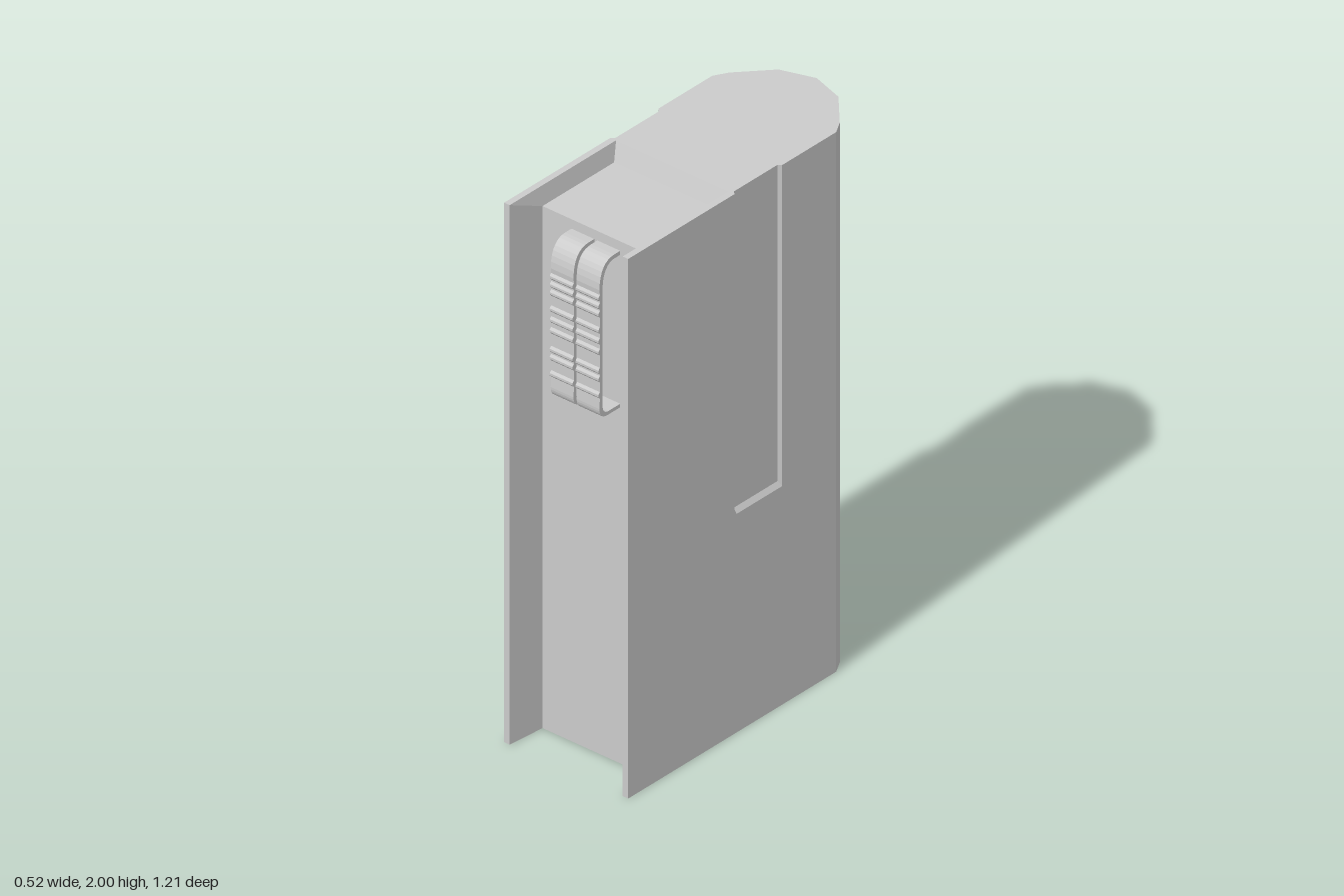
import * as THREE from 'three';

const material = () => new THREE.MeshStandardMaterial({ color: 0xcccccc, flatShading: true, side: THREE.DoubleSide });

// Horizontal outline: groove = side recess depth, inner = half width between
// the front flanges, front = z of the face between them.
function outline(groove, inner, front) {
  const half = [
    [0, -0.605], [0.125, -0.565], [0.23, -0.45], [0.258, -0.4],
    [0.258, -0.14], [0.258 - groove, -0.13], [0.258 - groove, 0.08], [0.258, 0.09],
    [0.258, 0.603], [0.235, 0.603], [inner, 0.46], [inner, front],
  ];
  const mirrored = half.slice(1).reverse().map(([x, z]) => [-x, z]);
  return [...half, ...mirrored].map(([x, z]) => new THREE.Vector2(x, z));
}

// Joins outlines stacked in height and closes both ends.
function loft(layers) {
  const positions = [];
  const tri = (...pts) => {
    const [a, b, c] = pts;
    const area = b.clone().sub(a).cross(c.clone().sub(a)).length();
    if (area > 1e-7) pts.forEach((p) => positions.push(p.x, p.y, p.z));
  };
  const rings = layers.map(({ y, loop }) => loop.map((p) => new THREE.Vector3(p.x, y, p.y)));
  for (let k = 0; k + 1 < rings.length; k++) {
    const lo = rings[k], hi = rings[k + 1], n = lo.length;
    for (let i = 0; i < n; i++) {
      const j = (i + 1) % n;
      tri(lo[i], hi[i], hi[j]);
      tri(lo[i], hi[j], lo[j]);
    }
  }
  const cap = (index, flip) => {
    const ring = rings[index];
    for (const [a, b, c] of THREE.ShapeUtils.triangulateShape(layers[index].loop, [])) {
      if (flip) tri(ring[a], ring[c], ring[b]);
      else tri(ring[a], ring[b], ring[c]);
    }
  };
  cap(0, false);
  cap(rings.length - 1, true);
  const geometry = new THREE.BufferGeometry();
  geometry.setAttribute('position', new THREE.Float32BufferAttribute(positions, 3));
  geometry.computeVertexNormals();
  return geometry;
}

// Curved clip strip with a ridged front, drawn in (z, y) and extruded along x.
function clipGeometry(width) {
  const s = new THREE.Shape();
  s.moveTo(0.455, 1.9);
  s.lineTo(0.49, 1.9);
  s.bezierCurveTo(0.53, 1.9, 0.56, 1.87, 0.56, 1.8);
  for (const y of [1.77, 1.74, 1.71, 1.65, 1.61, 1.57, 1.5, 1.47, 1.41]) {
    s.lineTo(0.558, y + 0.012);
    s.lineTo(0.565, y + 0.004);
    s.lineTo(0.565, y - 0.004);
    s.lineTo(0.558, y - 0.012);
  }
  s.lineTo(0.56, 1.36);
  s.quadraticCurveTo(0.56, 1.32, 0.52, 1.32);
  s.lineTo(0.455, 1.32);
  s.lineTo(0.455, 1.333);
  s.lineTo(0.515, 1.333);
  s.quadraticCurveTo(0.545, 1.333, 0.545, 1.365);
  s.lineTo(0.545, 1.8);
  s.bezierCurveTo(0.545, 1.855, 0.52, 1.885, 0.49, 1.885);
  s.lineTo(0.455, 1.885);
  s.closePath();
  return new THREE.ExtrudeGeometry(s, { depth: width, bevelEnabled: false, curveSegments: 8 })
    .translate(0, 0, -width / 2)
    .rotateY(-Math.PI / 2);
}

export function createModel() {
  const model = new THREE.Group();
  model.name = 'flangedCase';

  // Body with side grooves, front flanges and a recessed front top
  const body = new THREE.Mesh(loft([
    { y: 0, loop: outline(0, 0.222, 0.46) },
    { y: 0.81, loop: outline(0, 0.222, 0.46) },
    { y: 0.828, loop: outline(0.012, 0.222, 0.46) },
    { y: 1.935, loop: outline(0.012, 0.222, 0.46) },
    { y: 1.935, loop: outline(0.012, 0.222, 0.115) },
    { y: 2, loop: outline(0.012, 0.235, 0.09) },
  ]), material());
  body.name = 'body';
  model.add(body);

  // Pair of clip strips on the front face
  const strip = clipGeometry(0.095);
  for (const side of [-1, 1]) {
    const clip = new THREE.Mesh(strip, material());
    clip.name = side > 0 ? 'leftClip' : 'rightClip';
    clip.position.x = side * 0.054;
    model.add(clip);
  }
  return model;
}
